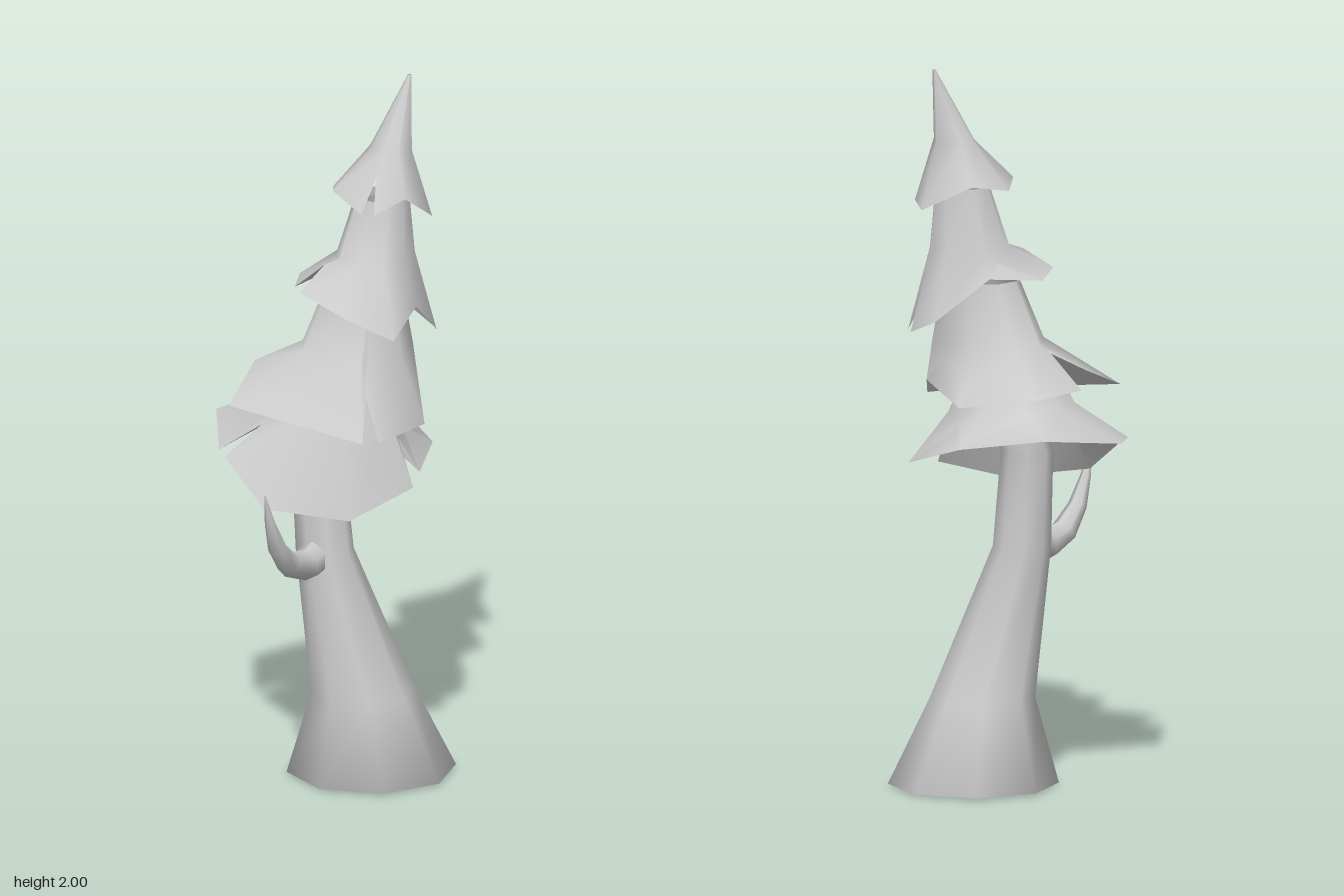
import * as THREE from 'three';

// Skin through rings of points, ordered from top to bottom
function loft(rings, capEnd = false) {
  const n = rings[0].length, idx = [];
  for (let i = 0; i < rings.length - 1; i++) {
    for (let j = 0; j < n; j++) {
      const a = i * n + j, b = i * n + (j + 1) % n, c = a + n, d = b + n;
      idx.push(a, c, b, b, c, d);
    }
  }
  if (capEnd) {
    const last = (rings.length - 1) * n;
    for (let j = 1; j < n - 1; j++) idx.push(last, last + j + 1, last + j);
  }
  const g = new THREE.BufferGeometry();
  g.setAttribute('position', new THREE.Float32BufferAttribute(rings.flat(2), 3));
  g.setIndex(idx);
  g.computeVertexNormals();
  return g;
}

// Ring of points around [x, y, z, radius x, radius z]
function ring([x, y, z, rx, rz = rx], angles) {
  return angles.map(a => [x - rx * Math.cos(a), y, z + rz * Math.sin(a)]);
}

// Jagged rim: tips joined by straight edges, with a slit cut in after each listed tip
function jaggedRim(tips, slits, [mx, my, mz]) {
  const target = [mx, my + 0.1, mz];
  return tips.flatMap((tip, i) => {
    if (!slits.includes(i)) return [tip];
    const next = tips[(i + 1) % tips.length];
    const slit = tip.map((t, k) => THREE.MathUtils.lerp((t + next[k]) / 2, target[k], 0.35));
    return [tip, slit];
  });
}

// Neck of a skirt, narrowing and leaning from its shoulder
const neck = ([x, y, z, r]) => [x + 0.02, y + 0.17, z, r * 0.68];

// Foliage skirts: shoulder ring and rim tips (left, front, right, back)
const TIERS = [
  {
    name: 'bottomFoliage', mid: [-0.01, 1.06, 0.02, 0.175], slits: [3, 9],
    tips: [[-0.33, 0.95, 0.04], [-0.26, 0.84, 0.19], [-0.04, 0.81, 0.27], [0.16, 0.87, 0.21],
      [0.19, 0.9, 0.17], [0.285, 0.915, -0.03], [0.175, 0.98, -0.21], [-0.04, 1.02, -0.34],
      [-0.27, 0.99, -0.25], [-0.333, 0.96, 0]],
  },
  {
    name: 'lowerFoliage', mid: [0.05, 1.24, 0.04, 0.155], slits: [1, 7],
    tips: [[-0.32, 1.1, 0.05], [-0.02, 1.05, 0.33], [0.025, 1.05, 0.335], [0.185, 1.06, 0.235],
      [0.22, 1.13, 0.05], [0.17, 1.09, -0.18], [-0.04, 1.12, -0.255], [-0.18, 1.12, -0.13],
      [-0.2, 1.17, -0.11]],
  },
  {
    name: 'upperFoliage', mid: [0.1, 1.5, 0.045, 0.11], slits: [4, 9],
    tips: [[-0.13, 1.42, 0.085], [-0.04, 1.38, 0.22], [0.085, 1.32, 0.275], [0.18, 1.38, 0.17],
      [0.27, 1.27, 0.06], [0.27, 1.27, 0.02], [0.22, 1.31, -0.07], [0.07, 1.43, -0.09],
      [-0.08, 1.42, -0.08], [-0.135, 1.43, 0.06]],
  },
  {
    name: 'topFoliage', mid: [0.152, 1.8, 0.03, 0.062], top: [0.205, 2, 0.02, 0.005], slits: [1],
    tips: [[-0.02, 1.69, 0.04], [0.03, 1.65, 0.145], [0.06, 1.65, 0.165], [0.15, 1.69, 0.165],
      [0.24, 1.62, 0.12], [0.25, 1.62, -0.04], [0.12, 1.69, -0.1], [0.01, 1.67, -0.06]],
  },
];

export function createModel() {
  const tree = new THREE.Group();
  const mat = new THREE.MeshStandardMaterial({ color: 0xcccccc });
  const leafMat = new THREE.MeshStandardMaterial({ color: 0xcccccc, side: THREE.DoubleSide });
  const add = (name, geo, m = mat, parent = tree) => {
    const mesh = new THREE.Mesh(geo, m);
    mesh.name = name;
    parent.add(mesh);
  };

  // Leaning trunk with a flared foot, shaded smoothly into its underside
  const octagon = Array.from({ length: 8 }, (_, i) => (i / 8) * Math.PI * 2 - 0.14);
  add('trunk', loft([
    [0.0, 1.15, 0.0, 0.05], [-0.045, 0.94, -0.035, 0.072], [-0.045, 0.66, 0.045, 0.08, 0.085],
    [0.065, 0.24, 0.045, 0.145, 0.135], [0.095, 0.005, 0.02, 0.235, 0.23], [0.095, 0, 0.02, 0.1],
  ].map(r => ring(r, octagon)), true));

  // Curved branch tapering to a point
  const path = new THREE.CatmullRomCurve3([
    [-0.065, 0.66, 0.06], [-0.14, 0.645, 0.14], [-0.2, 0.685, 0.19], [-0.245, 0.77, 0.23], [-0.275, 0.9, 0.25],
  ].map(p => new THREE.Vector3(...p)));
  const steps = 5, sides = 6;
  const branch = new THREE.TubeGeometry(path, steps, 0.05, sides);
  const pos = branch.attributes.position, v = new THREE.Vector3();
  for (let i = 0; i < pos.count; i++) {
    const t = Math.floor(i / (sides + 1)) / steps;
    const c = path.getPointAt(t);
    v.fromBufferAttribute(pos, i).sub(c).multiplyScalar(1 - 0.97 * t ** 1.4).add(c);
    pos.setXYZ(i, v.x, v.y, v.z);
  }
  branch.computeVertexNormals();
  add('branch', branch);

  // Layered foliage, each skirt with an outer and an inner shell
  const inset = ([x, y, z, r]) => [x, y - 0.02, z, Math.max(r - 0.015, 0.002)];
  for (const { name, mid, top = neck(mid), tips, slits } of TIERS) {
    const group = new THREE.Group();
    group.name = name;
    const rim = jaggedRim(tips, slits, mid);
    const angles = rim.map(([x, , z]) => Math.atan2(z - mid[2], mid[0] - x));
    add('outerLeaves', loft([ring(top, angles), ring(mid, angles), rim]), leafMat, group);
    add('innerLeaves', loft([rim, ring(inset(mid), angles), ring(inset(top), angles)]), leafMat, group);
    tree.add(group);
  }
  return tree;
}
